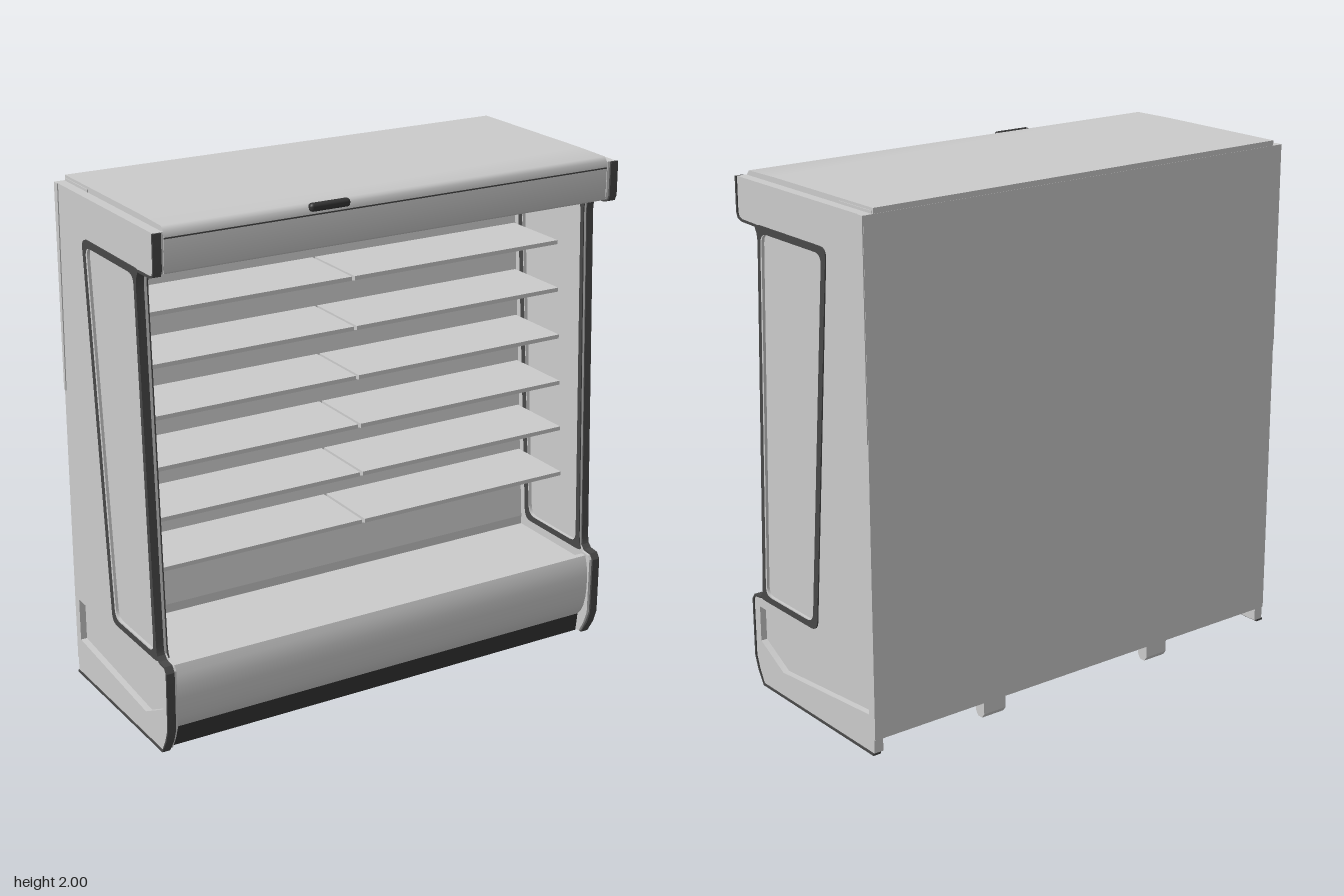
import * as THREE from 'three';
import { toCreasedNormals } from 'three/addons/utils/BufferGeometryUtils.js';
import { RoundedBoxGeometry } from 'three/addons/geometries/RoundedBoxGeometry.js';

const grey = new THREE.MeshStandardMaterial({ color: 0xcccccc });
const trim = new THREE.MeshStandardMaterial({ color: 0x484848 });
const black = new THREE.MeshStandardMaterial({ color: 0x333333 });

// All profiles are [z, y] points; r rounds every corner
function outline(pts, r = 0, Type = THREE.Shape) {
  const v = pts.map(p => new THREE.Vector2(...p));
  if (!r) return new Type(v);
  const path = new Type();
  v.forEach((p, i) => {
    const before = v[(i + v.length - 1) % v.length], after = v[(i + 1) % v.length];
    const toward = q => p.clone().add(q.clone().sub(p).setLength(Math.min(r, q.distanceTo(p) * 0.45)));
    const a = toward(before), b = toward(after);
    if (i === 0) path.moveTo(a.x, a.y); else path.lineTo(a.x, a.y);
    path.quadraticCurveTo(p.x, p.y, b.x, b.y);
  });
  path.closePath();
  return path;
}

// Extrude a side profile across the width, from x = a to x = b
function slab(shape, a, b, crease = 0.6) {
  const geo = new THREE.ExtrudeGeometry(shape, { depth: b - a, bevelEnabled: false, curveSegments: 6 });
  geo.rotateY(-Math.PI / 2).translate(b, 0, 0);
  return toCreasedNormals(geo, crease);
}

// Strip of width w lying to the right of an open run of points
function strip(pts, w) {
  const v = pts.map(p => new THREE.Vector2(...p));
  const outer = v.map((p, i) => {
    const d = v[Math.min(i + 1, v.length - 1)].clone().sub(v[Math.max(i - 1, 0)]).normalize();
    return new THREE.Vector2(p.x + d.y * w, p.y - d.x * w);
  });
  return new THREE.Shape([...v, ...outer.reverse()]);
}

function add(parent, name, geo, mat = grey) {
  const mesh = new THREE.Mesh(geo, mat);
  mesh.name = name;
  parent.add(mesh);
  return mesh;
}

const windowOuter = [[0.335, 0.38], [-0.05, 0.38], [-0.178, 1.828], [0.28, 1.828], [0.255, 1.79], [0.317, 0.41]];
const windowInner = [[0.295, 0.405], [-0.024, 0.405], [-0.15, 1.802], [0.236, 1.802]];
const recess = [[0.35, 0.34], [-0.365, 0.34], [-0.365, 0.17], [0.2, 0.122], [0.35, 0.2]];
const lowerEdge = [[-0.395, 0.028], [0.338, 0.028], [0.366, 0.08], [0.384, 0.13], [0.386, 0.36], [0.375, 0.376], [0.335, 0.38], [0.313, 0.4]];
const upperEdge = [[0.251, 1.8], [0.268, 1.826], [0.36, 1.828], [0.379, 1.834], [0.386, 1.85], [0.386, 1.98]];

function endPanel(s) {
  const g = new THREE.Group();
  g.name = s > 0 ? 'leftEnd' : 'rightEnd';
  const side = (shape, a, b) => s > 0 ? slab(shape, a, b) : slab(shape, -b, -a);

  // panel with a window opening and a shallow recess at the foot
  const panel = outline([...lowerEdge, ...upperEdge, [-0.395, 1.98]]);
  panel.holes.push(outline(windowInner, 0.04, THREE.Path), outline(recess, 0, THREE.Path));
  add(g, 'endPanel', side(panel, 0.917, 0.955));
  add(g, 'recessFloor', side(outline(recess), 0.918, 0.93));
  add(g, 'windowPane', side(outline(windowInner, 0.04), 0.93, 0.944));

  // dark window frame outside, with a thin ring inside
  const frame = outline(windowOuter, 0.04);
  frame.holes.push(outline(windowInner, 0.04, THREE.Path));
  add(g, 'windowFrame', side(frame, 0.93, 0.96), trim);
  add(g, 'innerWindowRing', side(frame, 0.914, 0.918), trim);

  // dark bumpers along the bottom and front edges
  add(g, 'lowerBumper', side(strip(lowerEdge, 0.008), 0.928, 0.96), trim);
  add(g, 'upperBumper', side(strip(upperEdge, 0.008), 0.928, 0.96), trim);

  // tapering guard down the rear corner
  add(g, 'rearCornerGuard', side(outline([[-0.4, 1.98], [-0.4, 1.19], [-0.386, 1.19], [-0.372, 1.98]]), 0.95, 0.959));
  return g;
}

export function createModel() {
  const model = new THREE.Group();
  model.name = 'openDisplayCabinet';
  const W = 0.918;

  // back wall, thicker at the foot so that its inner face leans back, with a full-width rear sheet
  add(model, 'backWall', slab(outline([[-0.395, 0.09], [-0.08, 0.09], [-0.08, 0.38], [-0.205, 1.84], [-0.205, 1.99], [-0.395, 1.99]]), -W, W, 0.05));
  add(model, 'rearSheet', new THREE.BoxGeometry(1.91, 1.9, 0.006).translate(0, 1.03, -0.398));

  // base with the product deck
  add(model, 'base', slab(outline([[-0.39, 0.09], [0.3, 0.09], [0.31, 0.2], [0.31, 0.345], [-0.39, 0.345]]), -W, W));

  // curved front apron with a low lip
  add(model, 'frontApron', slab(outline([
    [0.3, 0.1], [0.325, 0.1], [0.346, 0.125], [0.361, 0.155], [0.371, 0.195], [0.376, 0.24],
    [0.376, 0.29], [0.37, 0.335], [0.358, 0.37], [0.335, 0.37], [0.328, 0.34], [0.3, 0.34],
  ]), -W, W, 0.75));
  add(model, 'kickPlate', slab(outline([[0.29, 0.022], [0.315, 0.022], [0.325, 0.1], [0.29, 0.1]]), -W, W), black);

  // canopy with a softly rolled front edge
  add(model, 'canopy', slab(outline([
    [-0.4, 1.832], [0.376, 1.832], [0.384, 1.84], [0.386, 1.957], [0.383, 1.983], [0.37, 1.997],
    [0.2, 2], [-0.4, 2],
  ]), -0.915, 0.915, 1));
  add(model, 'canopySeam', new THREE.BoxGeometry(1.83, 0.005, 0.004).translate(0, 1.957, 0.385), trim);
  add(model, 'canopyTab', new RoundedBoxGeometry(0.16, 0.03, 0.03, 2, 0.012).translate(-0.28, 1.984, 0.386), black);

  // six rows of wedge shelves following the lean of the back wall
  for (let i = 0; i < 6; i++) {
    const y = 0.67 + i * 0.188;
    const front = 0.182 - i * 0.0155;
    const wedge = outline([[front, y], [front - 0.29, y], [front - 0.29, y - 0.09], [front - 0.26, y - 0.09], [front, y - 0.016]]);
    add(model, 'rightShelf', slab(wedge, -0.913, -0.018, 0.1));
    add(model, 'leftShelf', slab(wedge, -0.006, 0.912, 0.1));
  }

  // four feet
  const foot = z => outline([[z - 0.025, 0.1], [z - 0.025, 0.018], [z - 0.012, 0], [z + 0.012, 0], [z + 0.025, 0.018], [z + 0.025, 0.1]]);
  for (const x of [-0.4, 0.4]) for (const z of [0.2, -0.35]) {
    add(model, 'foot', slab(foot(z), x - 0.05, x + 0.05));
  }

  model.add(endPanel(1), endPanel(-1));
  return model;
}
